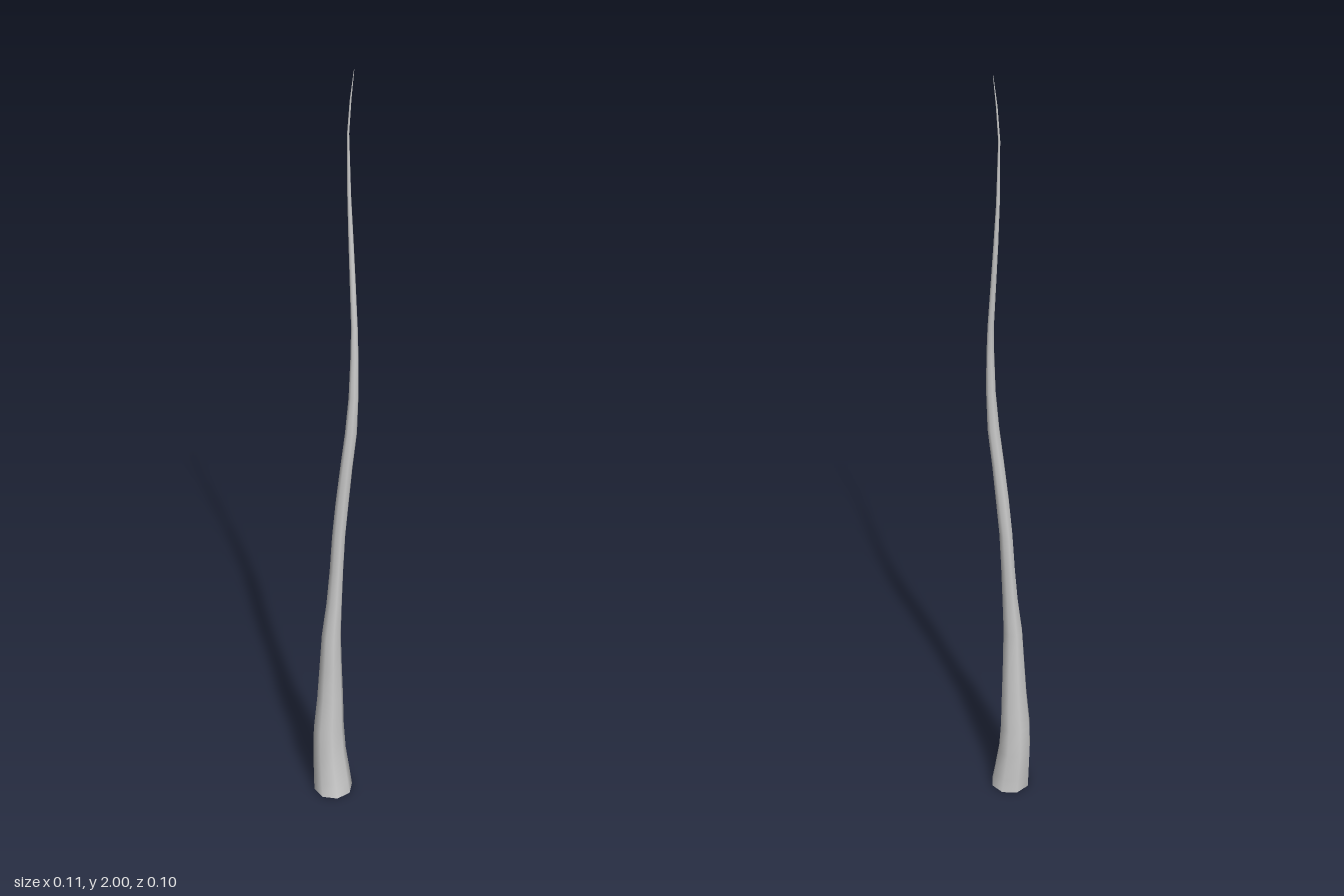
import * as THREE from 'three';
import { mergeVertices } from 'three/addons/utils/BufferGeometryUtils.js';

// Cross-sections up the stem: height, minX, maxX, minZ, maxZ
const SECTIONS = [
  [0.00, -0.060, 0.042, -0.046, 0.055],
  [0.04, -0.060, 0.038, -0.046, 0.047],
  [0.12, -0.058, 0.029, -0.050, 0.035],
  [0.20, -0.056, 0.024, -0.048, 0.030],
  [0.30, -0.046, 0.022, -0.043, 0.024],
  [0.40, -0.040, 0.018, -0.038, 0.022],
  [0.50, -0.034, 0.015, -0.034, 0.020],
  [0.60, -0.021, 0.018, -0.030, 0.016],
  [0.70, -0.013, 0.021, -0.026, 0.015],
  [0.80, -0.007, 0.026, -0.024, 0.014],
  [0.90, 0.000, 0.033, -0.017, 0.017],
  [1.00, 0.009, 0.040, -0.009, 0.020],
  [1.10, 0.019, 0.049, -0.002, 0.024],
  [1.20, 0.028, 0.052, 0.000, 0.023],
  [1.30, 0.033, 0.053, 0.000, 0.017],
  [1.38, 0.037, 0.053, -0.005, 0.010],
  [1.50, 0.039, 0.053, -0.019, -0.006],
  [1.60, 0.040, 0.052, -0.029, -0.018],
  [1.70, 0.040, 0.049, -0.035, -0.026],
  [1.85, 0.040, 0.045, -0.036, -0.031],
  [1.93, 0.045, 0.049, -0.033, -0.029],
  [2.00, 0.053, 0.054, -0.028, -0.027],
];
const SIDES = 8;

export function createModel() {
  const group = new THREE.Group();
  group.name = 'taperedStem';

  // Open unit tube, one row per cross-section, fitted to the section table
  const rows = SECTIONS.length - 1;
  let geometry = new THREE.CylinderGeometry(1, 1, 1, SIDES, rows, true, -0.17);
  const pos = geometry.attributes.position;
  for (let i = 0; i < pos.count; i++) {
    const row = Math.round((pos.getY(i) + 0.5) * rows);
    const [y, x0, x1, z0, z1] = SECTIONS[row];
    pos.setXYZ(
      i,
      (x0 + x1) / 2 + pos.getX(i) * (x1 - x0) / 2,
      y,
      (z0 + z1) / 2 + pos.getZ(i) * (z1 - z0) / 2,
    );
  }

  // Weld the seam so the shading is smooth all round
  geometry.deleteAttribute('uv');
  geometry.deleteAttribute('normal');
  geometry = mergeVertices(geometry, 1e-5);
  geometry.computeVertexNormals();

  const material = new THREE.MeshStandardMaterial({ color: 0xcccccc, side: THREE.DoubleSide });
  const stem = new THREE.Mesh(geometry, material);
  stem.name = 'stem';
  group.add(stem);
  return group;
}
